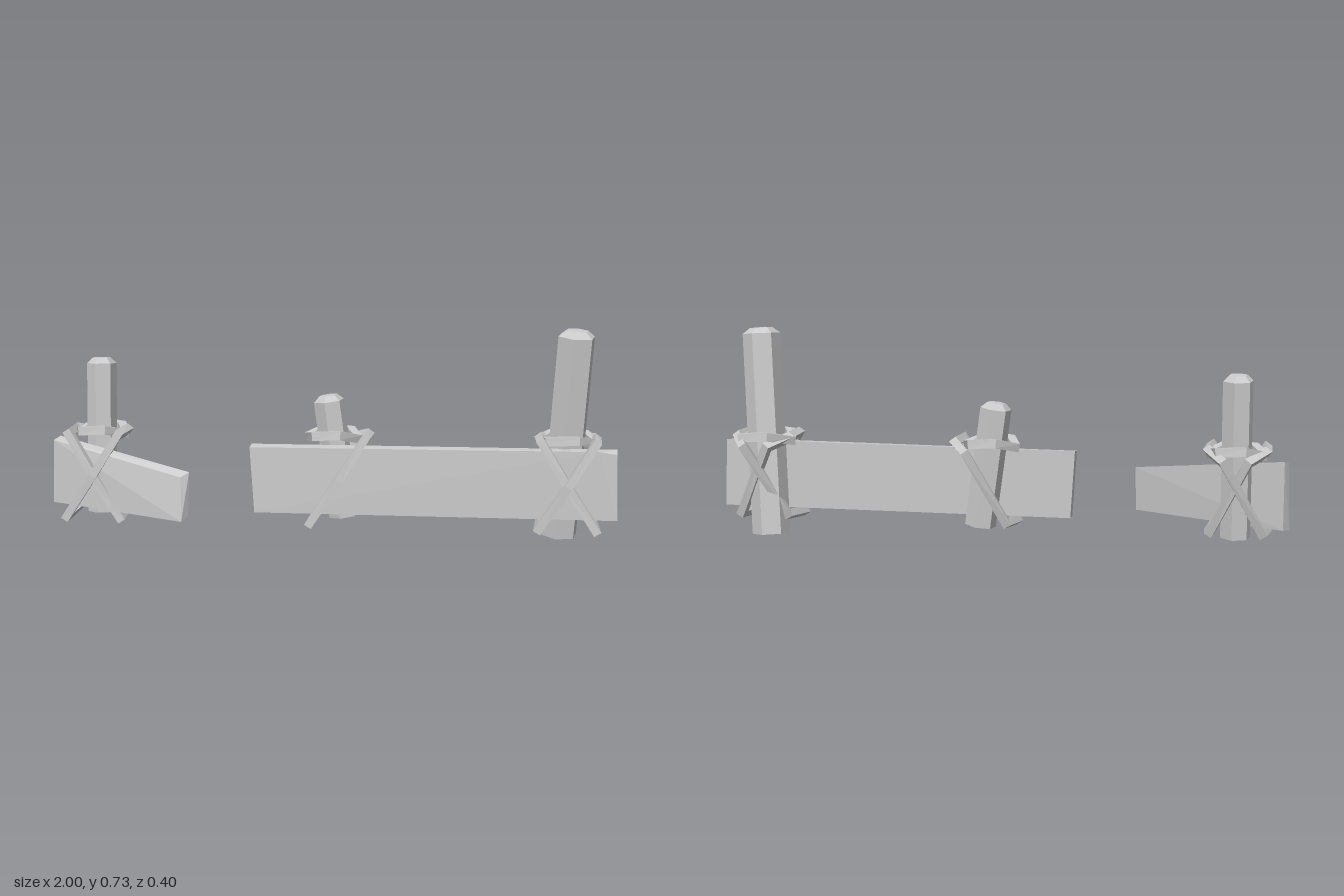
import * as THREE from 'three';
import { ConvexGeometry } from 'three/addons/geometries/ConvexGeometry.js';

const wood = new THREE.MeshStandardMaterial({ color: 0xcccccc, flatShading: true });
const V = (p) => new THREE.Vector3(...p);

function add(parent, name, geometry) {
  const mesh = new THREE.Mesh(geometry, wood);
  mesh.name = name;
  parent.add(mesh);
  return mesh;
}

// Hexagonal stake with a chamfered head, leaning from bottom to top
function addPost(parent, bottom, top, r) {
  const a = V(bottom), dir = V(top).sub(a), h = dir.length();
  const profile = [[0, 0], [r, 0], [r, h - 0.022], [r * 0.6, h - 0.002], [0, h]];
  const geo = new THREE.LatheGeometry(profile.map((p) => new THREE.Vector2(...p)), 6, -Math.PI / 18);
  const post = add(parent, 'post', geo);
  post.position.copy(a);
  post.quaternion.setFromUnitVectors(new THREE.Vector3(0, 1, 0), dir.normalize());
}

// Closed square-section rope through a ring of points, mitred at the corners
function addRope(parent, name, points, half = 0.014) {
  const pts = points.map(V), n = pts.length;
  const centre = pts.reduce((s, p) => s.add(p), new THREE.Vector3()).divideScalar(n);
  const pos = [], index = [];
  pts.forEach((p, i) => {
    const d0 = p.clone().sub(pts[(i + n - 1) % n]).normalize();
    const d1 = pts[(i + 1) % n].clone().sub(p).normalize();
    const t = d0.clone().add(d1).normalize();
    const out = p.clone().sub(centre);
    out.addScaledVector(t, -out.dot(t)).normalize();
    const side = t.clone().cross(out);
    const mitre = Math.min(1.6, 1 / t.dot(d1));
    for (const [u, v] of [[1, 1], [-1, 1], [-1, -1], [1, -1]]) {
      const q = p.clone().addScaledVector(out, u * half * mitre).addScaledVector(side, v * half);
      pos.push(q.x, q.y, q.z);
    }
    for (let k = 0; k < 4; k++) {
      const a = i * 4 + k, b = i * 4 + (k + 1) % 4;
      const c = ((i + 1) % n) * 4 + k, d = ((i + 1) % n) * 4 + (k + 1) % 4;
      index.push(a, b, c, b, d, c);
    }
  });
  const geo = new THREE.BufferGeometry();
  geo.setAttribute('position', new THREE.Float32BufferAttribute(pos, 3));
  geo.setIndex(index);
  geo.computeVertexNormals();
  add(parent, name, geo);
}

// Tilted lashing: low on side s, high on the other
function addLashing(parent, x, s, grow = 0) {
  const ring = [
    [0.095, 0.065, 0.052], [0.085, 0.08, -0.095], [-0.04, 0.33, -0.172 - grow],
    [-0.095, 0.355, -0.09], [-0.09, 0.355, 0.025 + grow], [0, 0.21, 0.042 + grow],
  ].map(([px, y, z]) => [x + s * px, y, z]);
  addRope(parent, 'lashing', s > 0 ? ring : ring.reverse());
}

// Level rope collar around a post
function addCollar(parent, x, z, r, y) {
  const ring = [];
  for (let i = 0; i < 6; i++) {
    const a = (i / 6) * Math.PI * 2 + 0.35;
    ring.push([x + Math.sin(a) * r, y + 0.012 * Math.cos(a * 2), z + Math.cos(a) * r]);
  }
  addRope(parent, 'collar', ring, 0.015);
}

export function createModel() {
  const model = new THREE.Group();
  model.name = 'brokenFence';

  // Stakes with their rope bindings; lash lists the low sides
  const stakes = [
    { name: 'leftStake', bottom: [0.80, 0.012, -0.102], top: [0.845, 0.735, -0.038], r: 0.066, x: 0.825, lash: [1, -1], collar: 0.098 },
    { name: 'middleStake', bottom: [0.05, 0.065, -0.07], top: [-0.008, 0.495, -0.07], r: 0.054, x: 0.04, lash: [-1], collar: 0.085 },
    { name: 'rightStake', bottom: [-0.822, 0.06, -0.062], top: [-0.823, 0.612, -0.098], r: 0.052, x: -0.825, lash: [1, -1], collar: 0.085 },
  ];
  for (const s of stakes) {
    const group = new THREE.Group();
    group.name = s.name;
    model.add(group);
    addPost(group, s.bottom, s.top, s.r);
    s.lash.forEach((side, i) => addLashing(group, s.x, side, i * 0.012));
    const k = (0.355 - s.bottom[1]) / (s.top[1] - s.bottom[1]);
    const at = (j) => s.bottom[j] + (s.top[j] - s.bottom[j]) * k;
    addCollar(group, at(0), at(2), s.collar, 0.355);
  }

  // Long board with a split front corner at one end
  add(model, 'longBoard', new ConvexGeometry([
    [-0.27, 0.32, 0.03], [-0.255, 0.09, 0.033], [-0.27, 0.325, -0.015], [-0.255, 0.09, -0.012],
    [0.93, 0.328, 0.02], [0.99, 0.315, 0], [0.995, 0.09, 0.016], [0.99, 0.33, -0.022], [1, 0.09, -0.02],
  ].map(V)));

  // Short tapered board, swung forward
  add(model, 'shortBoard', new ConvexGeometry([
    [-0.995, 0.315, -0.055], [-1, 0.09, -0.05], [-0.98, 0.325, -0.092], [-0.98, 0.092, -0.085],
    [-0.487, 0.235, 0.165], [-0.48, 0.086, 0.193], [-0.46, 0.25, 0.145], [-0.463, 0.095, 0.158],
  ].map(V)));

  return model;
}
